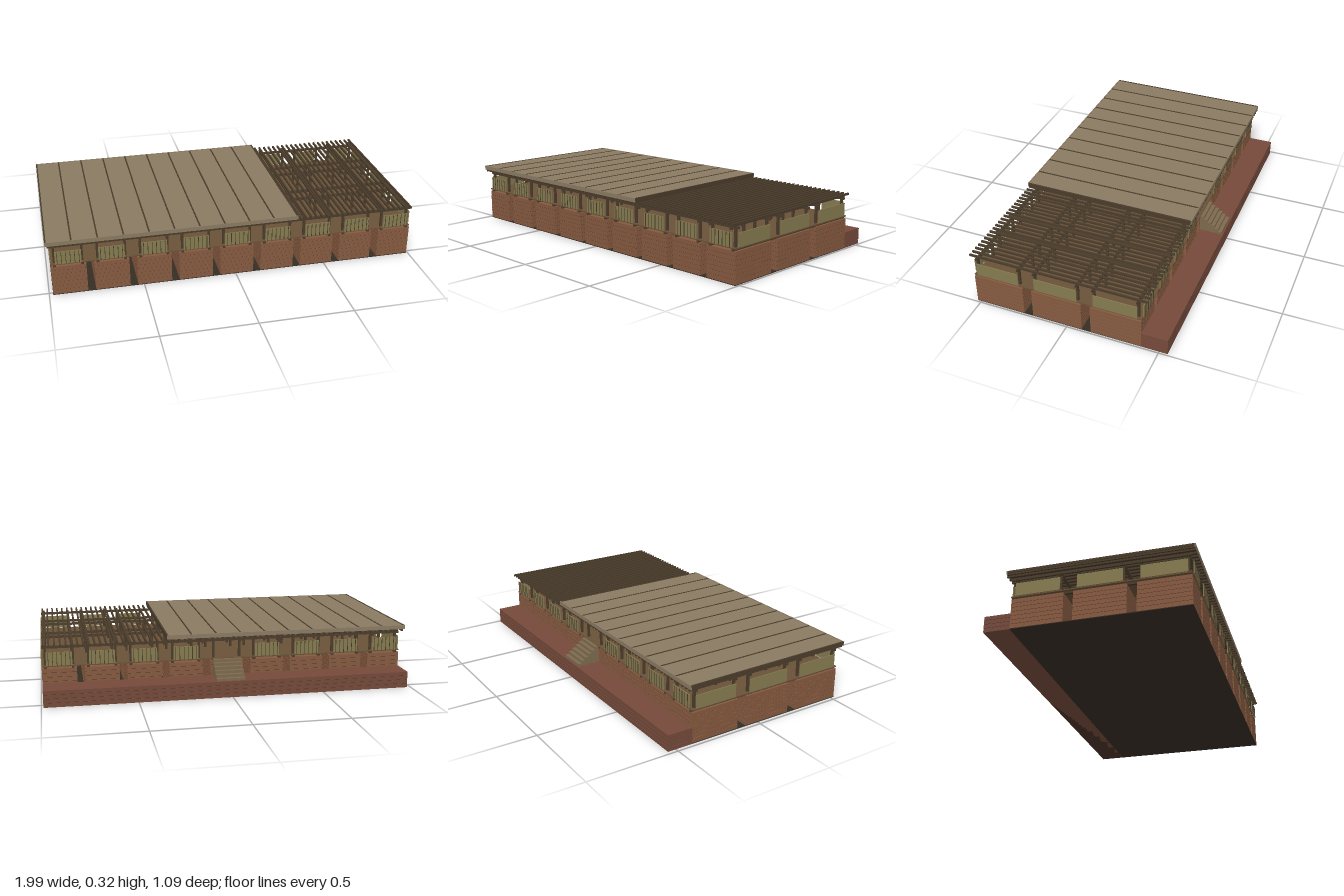
import * as THREE from 'three';

const mat = (color) => new THREE.MeshStandardMaterial({ color });
const BRICK = mat(0x85593f), MORTAR = mat(0x4a3227), TERRACE = mat(0x74493a);
const ROOF = mat(0x8a7a62), WOOD = mat(0x4a3c2b), DECK = mat(0x6a5138);
const PANEL = mat(0x857a50), BASE = mat(0x352d24), STEP = mat(0x7d6a4e);

// Box given by its minimum and maximum on each axis
function box(parent, name, material, [x0, x1], [y0, y1], [z0, z1]) {
  const mesh = new THREE.Mesh(new THREE.BoxGeometry(x1 - x0, y1 - y0, z1 - z0), material);
  mesh.position.set((x0 + x1) / 2, (y0 + y1) / 2, (z0 + z1) / 2);
  mesh.name = name;
  parent.add(mesh);
  return mesh;
}
const around = (c, half) => [c - half, c + half];
function section(parent, name) {
  const g = new THREE.Group();
  g.name = name;
  parent.add(g);
  return g;
}

// Bay grid: nine columns by three rows
const XS = Array.from({ length: 9 }, (_, i) => 0.006 + (i - 4) * 0.2235);
const ZS = [-0.2675, 0.0575, 0.3825];
const HX = 0.091, HZ = 0.1375;
const POST_X = XS.flatMap((x) => [x - 0.072, x + 0.072]);
const POST_Z = ZS.flatMap((z) => [z - 0.118, z + 0.118]);
const LEFT = -0.98, RIGHT = 0.99, BACK = -0.405, FRONT = 0.52;

// Stacked brick courses around a recessed mortar core
function brickMass(parent, name, material, [x0, x1], [y0, y1], [z0, z1], courses) {
  const g = section(parent, name);
  const inset = 0.002, pitch = (y1 - y0) / courses;
  box(g, 'mortarCore', MORTAR, [x0 + inset, x1 - inset], [y0, y1 - 0.001], [z0 + inset, z1 - inset]);
  for (let i = 0; i < courses; i++) {
    const y = y0 + i * pitch;
    box(g, 'brickCourse', material, [x0, x1], [y + (i ? 0.002 : 0), y + pitch], [z0, z1]);
  }
}

// Rail panel with upright battens, running along x or z
function railPanel(parent, axis, centre, half, at, outward, battens) {
  const g = section(parent, 'railPanel');
  const y = [0.184, 0.256];
  const place = (name, material, along, across, h) => (axis === 'x'
    ? box(g, name, material, along, h, across)
    : box(g, name, material, across, h, along));
  place('panelBoard', PANEL, around(centre, half), around(at, 0.0025), y);
  for (let i = 0; i < battens; i++) {
    const c = centre - half + (2 * half * (i + 0.5)) / battens;
    place('panelBatten', WOOD, around(c, 0.0015), around(at + outward * 0.003, 0.0015), y);
  }
}

export function createModel() {
  const model = new THREE.Group();
  model.name = 'pavilion';

  // Ground slab
  box(model, 'groundSlab', BASE, [LEFT, RIGHT], [0, 0.004], [BACK, FRONT]);

  // Brick piers with passages between them
  const piers = section(model, 'brickPiers');
  for (const x of XS) for (const z of ZS) {
    brickMass(piers, 'brickPier', BRICK, around(x, HX), [0.004, 0.167], around(z, HZ), 7);
  }

  // Rear terrace
  brickMass(model, 'rearTerrace', TERRACE, [LEFT, RIGHT], [0, 0.088], [-0.545, BACK], 4);

  // Steps from the terrace to the deck
  const stairs = section(model, 'stairs');
  for (let i = 0; i < 6; i++) {
    const z = -0.535 + i * 0.0215;
    box(stairs, 'step', STEP, [-0.07, 0.085], [0.088, 0.102 + i * 0.0155], [z, BACK]);
  }

  // Deck and its joists
  const floor = section(model, 'floor');
  box(floor, 'deck', DECK, [LEFT, RIGHT], [0.177, 0.183], [BACK - 0.003, FRONT]);
  for (const x of POST_X) {
    box(floor, 'joist', WOOD, around(x, 0.007), [0.166, 0.178], [BACK, FRONT]);
  }

  // Posts, cross beams and long beams
  const frame = section(model, 'timberFrame');
  for (const x of POST_X) for (const z of POST_Z) {
    box(frame, 'post', WOOD, around(x, 0.006), [0.183, 0.274], around(z, 0.006));
  }
  for (const z of POST_Z) for (const s of [-1, 1]) {
    box(frame, 'longBeam', WOOD, [LEFT, RIGHT], [0.273, 0.285], around(z + s * 0.0045, 0.0025));
  }
  for (const x of POST_X) {
    box(frame, 'crossBeam', WOOD, around(x, 0.005), [0.284, 0.293], [-0.41, FRONT]);
  }

  // Closely spaced rafters, left open over the pergola end
  const rafters = section(model, 'rafters');
  for (let x = -0.985; x < 0.99; x += 0.0298) {
    box(rafters, 'rafter', WOOD, around(x, 0.0045), [0.292, 0.303], [-0.433, 0.54]);
  }

  // Rail panels around the perimeter, open at the stairs
  const rails = section(model, 'railPanels');
  XS.forEach((x, i) => {
    railPanel(rails, 'x', x, 0.068, 0.523, 1, 6);
    if (i !== 4) railPanel(rails, 'x', x, 0.068, -0.409, -1, 6);
  });
  for (const z of ZS) {
    railPanel(rails, 'z', z, 0.118, 0.991, 1, 0);
    railPanel(rails, 'z', z, 0.118, -0.98, -1, 0);
  }

  // Flat roof with dark battens between its sheets
  const roof = section(model, 'roof');
  const r0 = -1, r1 = 0.335, z0 = -0.43, z1 = 0.54;
  box(roof, 'roofDeck', WOOD, [r0 + 0.003, r1 - 0.003], [0.302, 0.314], [z0 + 0.003, z1 - 0.003]);
  const sheets = 10, w = (r1 - r0) / sheets;
  for (let i = 0; i < sheets; i++) {
    const x = r0 + i * w;
    box(roof, 'roofSheet', ROOF, [x + 0.004, x + w - 0.004], [0.312, 0.323], [z0, z1]);
  }
  for (let i = 0; i <= sheets; i++) {
    const x = Math.min(Math.max(r0 + i * w, r0 + 0.004), r1 - 0.004);
    box(roof, 'roofBatten', WOOD, around(x, 0.004), [0.312, 0.325], [z0, z1]);
  }
  for (const z of [z0, z1]) {
    box(roof, 'roofEdge', ROOF, [r0, r1], [0.303, 0.325], around(z, 0.003));
  }
  return model;
}
